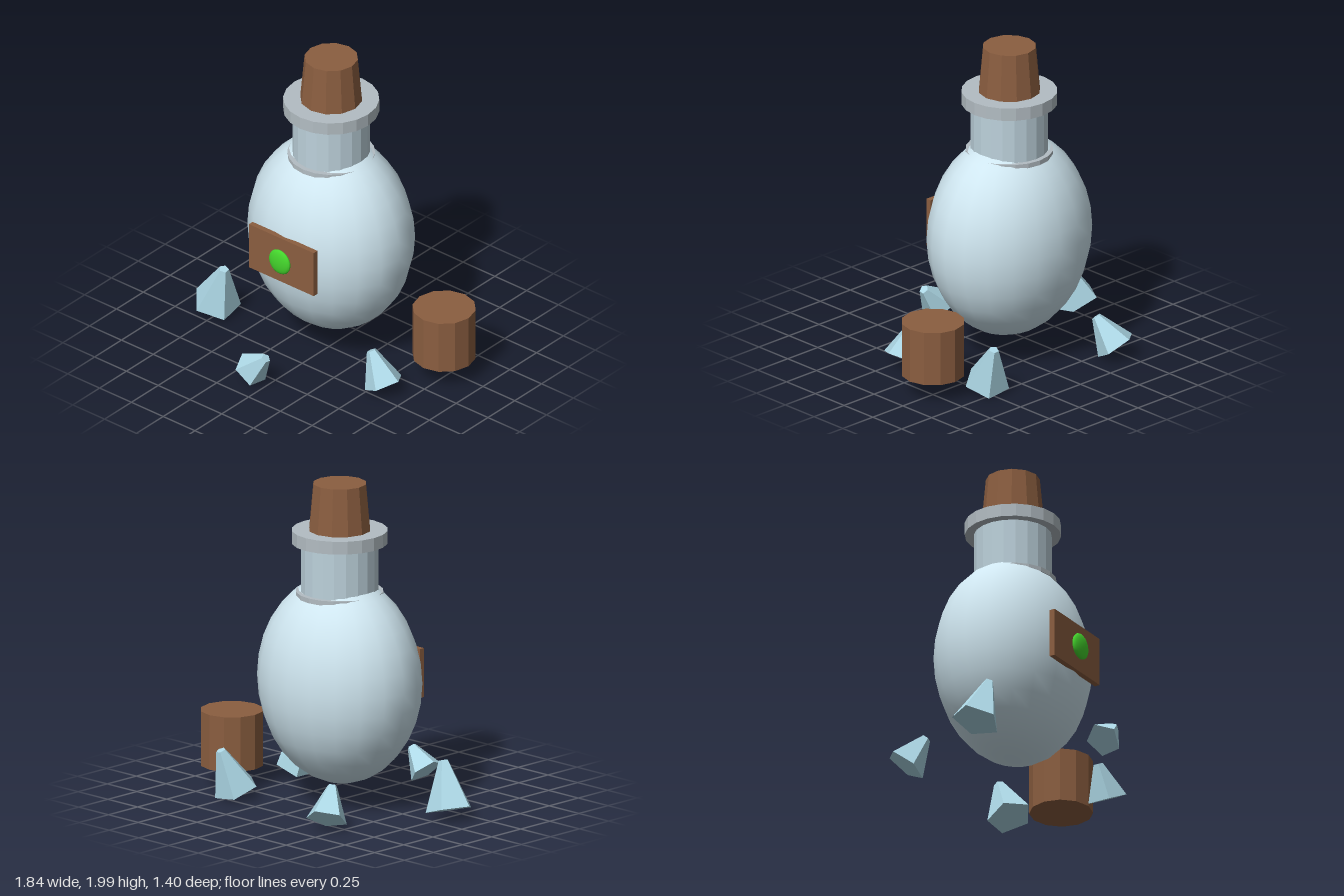
import * as THREE from 'three';

const material = (color, flatShading = false) => new THREE.MeshStandardMaterial({ color, flatShading });
const glass = material(0xcfe6f0);
const neckGlass = material(0xbdd2dc, true);
const rim = material(0xb3bdc3, true);
const wood = material(0x8b5e40, true);
const gem = material(0x44d62c);
const ice = material(0xadd8e6, true);

export function createModel() {
  const model = new THREE.Group();
  const add = (parent, name, geometry, mat, x, y, z) => {
    const mesh = new THREE.Mesh(geometry, mat);
    mesh.name = name;
    mesh.position.set(x, y, z);
    parent.add(mesh);
    return mesh;
  };
  // Upright cylinder given by its bottom and top heights
  const column = (parent, name, rTop, rBottom, y0, y1, sides, mat, x = 0, z = 0) =>
    add(parent, name, new THREE.CylinderGeometry(rTop, rBottom, y1 - y0, sides), mat, x, (y0 + y1) / 2, z);

  // Bottle: egg-shaped body, collar, neck, lip and tapered cork
  const bottle = new THREE.Group();
  bottle.name = 'bottle';
  bottle.position.set(-0.05, 0, -0.08);
  model.add(bottle);
  add(bottle, 'body', new THREE.SphereGeometry(1, 20, 16), glass, 0, 0.78, 0).scale.set(0.54, 0.64, 0.45);
  column(bottle, 'collar', 0.265, 0.265, 1.3, 1.33, 20, rim);
  column(bottle, 'neck', 0.235, 0.235, 1.28, 1.64, 20, neckGlass);
  column(bottle, 'lip', 0.29, 0.29, 1.63, 1.71, 20, rim);
  column(bottle, 'cork', 0.163, 0.19, 1.7, 2, 12, wood);

  // Wooden label with a flattened gem
  add(model, 'label', new THREE.BoxGeometry(0.51, 0.305, 0.035), wood, -0.055, 0.778, 0.3625);
  add(model, 'labelGem', new THREE.SphereGeometry(0.082, 20, 14), gem, -0.05, 0.778, 0.4).scale.z = 0.3;

  // Loose stopper beside the bottle
  column(model, 'looseStopper', 0.193, 0.193, 0.13, 0.47, 12, wood, 0.72, -0.22);

  // Five-sided crystals: base centre, tip centre, base radius, roll in degrees
  const crystals = [
    [[-0.445, 0.08, -0.595], [-0.385, 0.255, -0.485], 0.13, 43],
    [[-0.785, 0.065, 0.12], [-0.695, 0.35, 0.155], 0.15, 60],
    [[-0.11, 0.085, 0.6], [0.01, 0.215, 0.6], 0.11, 46],
    [[0.59, 0.07, 0.185], [0.49, 0.265, 0.185], 0.125, 18],
    [[0.475, 0.06, -0.43], [0.51, 0.315, -0.53], 0.14, 0],
  ];
  const up = new THREE.Vector3(0, 1, 0);
  crystals.forEach(([b, t, radius, roll], i) => {
    const base = new THREE.Vector3(...b), tip = new THREE.Vector3(...t);
    const axis = tip.clone().sub(base);
    const geometry = new THREE.CylinderGeometry(0.03, radius, axis.length(), 5);
    geometry.rotateY(THREE.MathUtils.degToRad(roll));
    const mid = base.add(tip).multiplyScalar(0.5);
    add(model, `crystal${i + 1}`, geometry, ice, mid.x, mid.y, mid.z)
      .quaternion.setFromUnitVectors(up, axis.normalize());
  });

  return model;
}
